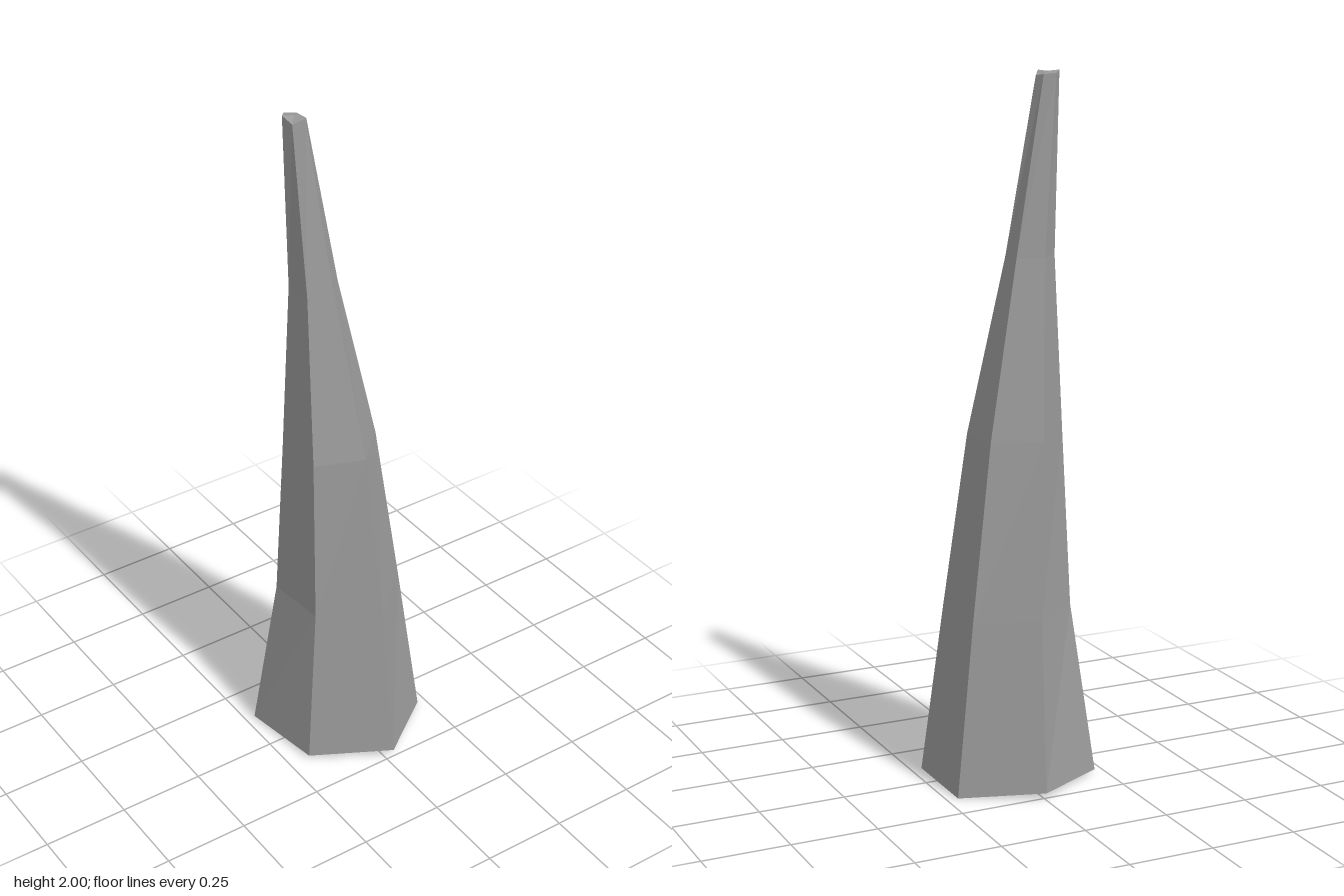
import * as THREE from 'three';

// Six corners of each ring as [x, z], clockwise seen from above, starting at the back
const RINGS = [
  [[-0.005, -0.255], [0.217, -0.147], [0.222, 0.098], [0.023, 0.252], [-0.188, 0.118], [-0.223, -0.127]],
  [[-0.018, -0.197], [0.165, -0.138], [0.167, 0.06], [0.023, 0.185], [-0.145, 0.093], [-0.162, -0.085]],
  [[-0.037, -0.165], [0.102, -0.12], [0.108, 0.022], [0.007, 0.12], [-0.133, 0.07], [-0.14, -0.073]],
  [[-0.063, -0.118], [0.015, -0.1], [0.012, -0.025], [-0.033, 0.022], [-0.112, 0.015], [-0.114, -0.072]],
  [[-0.1, -0.105], [-0.07, -0.09], [-0.061, -0.06], [-0.08, -0.034], [-0.114, -0.045], [-0.122, -0.08]],
];
const HEIGHTS = [0, 0.5, 1, 1.5, 1.985];
// Slight unevenness of the foot and the broken tip
const FOOT = [0.016, 0, 0.005, 0.025, 0.01, 0.006];
const TIP = [0.008, 0.005, 0, 0.013, 0.002, 0.015];

export function createModel() {
  const group = new THREE.Group();
  group.name = 'spike';
  const stone = new THREE.MeshStandardMaterial({ color: 0x999999, flatShading: true });
  stone.name = 'grey stone';

  const rings = RINGS.map((ring, k) => ring.map(([x, z], i) => {
    const offset = k === 0 ? FOOT[i] : k === 4 ? TIP[i] : 0;
    return [x, HEIGHTS[k] + offset, z];
  }));

  const addMesh = (name, triangles) => {
    const geometry = new THREE.BufferGeometry();
    geometry.setAttribute('position', new THREE.Float32BufferAttribute(triangles.flat(2), 3));
    geometry.computeVertexNormals();
    const mesh = new THREE.Mesh(geometry, stone);
    mesh.name = name;
    group.add(mesh);
  };

  // Faceted shaft between successive rings
  const shaft = [];
  for (let k = 0; k < 4; k++) {
    for (let i = 0; i < 6; i++) {
      const j = (i + 1) % 6;
      const low = rings[k], high = rings[k + 1];
      shaft.push([low[i], high[i], low[j]], [high[i], high[j], low[j]]);
    }
  }
  addMesh('shaft', shaft);

  // Caps as fans around a centre point
  const fan = (ring, centre, up) => ring.map((p, i) => {
    const q = ring[(i + 1) % 6];
    return up ? [centre, q, p] : [centre, p, q];
  });
  addMesh('base', fan(rings[0], [0.008, 0.01, -0.01], false));
  addMesh('tip', fan(rings[4], [-0.091, 1.997, -0.07], true));
  return group;
}
